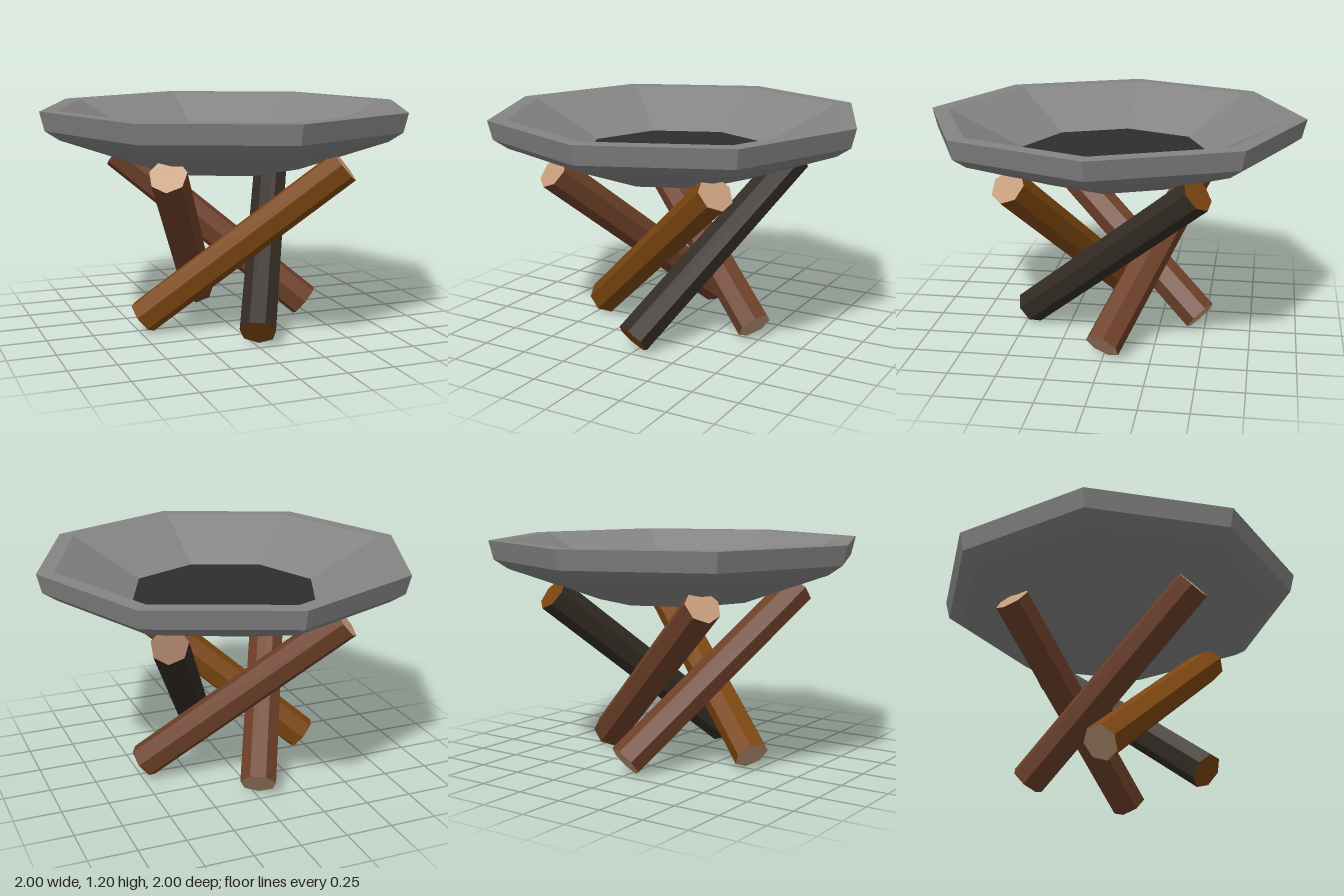
import * as THREE from 'three';

const paint = (name, hex) => {
  const m = new THREE.MeshStandardMaterial({ color: hex });
  m.name = name;
  return m;
};

// Faceted normals, one per face
const faceted = (geometry) => {
  const g = geometry.toNonIndexed();
  g.computeVertexNormals();
  return g;
};

export function createModel() {
  const model = new THREE.Group();
  model.name = 'firePit';

  const stone = paint('stone grey', 0x848484);
  const coal = paint('charcoal', 0x2e2e2e);
  const redBark = paint('reddish bark', 0x6e4029);
  const amberBark = paint('amber bark', 0x7c4610);
  const darkBark = paint('dark bark', 0x332c24);
  const cutWood = paint('cut wood', 0xc49c7a);

  const add = (name, geometry, material) => {
    const mesh = new THREE.Mesh(geometry, material);
    mesh.name = name;
    model.add(mesh);
    return mesh;
  };

  // Octagonal bowl: underside, outer wall, lip and inner slope in one profile
  const profile = [
    [0, 0.88], [0.42, 0.88], [0.9, 1.05], [0.975, 1.1],
    [1, 1.2], [0.91, 1.2], [0.51, 1.0],
  ].map(([r, y]) => new THREE.Vector2(r, y));
  add('bowl', faceted(new THREE.LatheGeometry(profile, 8)), stone);

  // Flat bed of coal inside the bowl
  const bed = new THREE.CircleGeometry(0.51, 8).rotateX(-Math.PI / 2);
  add('coalBed', bed.translate(0, 1.0, 0), coal);

  // Four crossed logs, each a quarter turn from the last
  const logs = [
    ['amberLog', amberBark, cutWood],
    ['darkLog', darkBark, amberBark],
    ['redLogRight', redBark, cutWood],
    ['redLogBack', redBark, cutWood],
  ];
  // Turns that place each log's foot at -x, +z, +x and -z
  const turns = [0, 1, 2, 3].map((i) => (i * Math.PI) / 2);

  const foot = new THREE.Vector3(-0.475, 0.075, 0);
  const head = new THREE.Vector3(0.475, 0.915, 0.475);
  const axis = head.clone().sub(foot);
  const length = axis.length();
  axis.normalize();
  // One corner of each seven-sided log points down to the ground
  const down = new THREE.Vector3(0, -1, 0).addScaledVector(axis, axis.y).normalize();
  const side = new THREE.Vector3().crossVectors(axis, down);
  const place = new THREE.Matrix4().makeBasis(side, axis, down);
  place.setPosition(foot.clone().add(head).multiplyScalar(0.5));

  logs.forEach(([name, bark, end], i) => {
    const g = faceted(new THREE.CylinderGeometry(0.096, 0.096, length, 7));
    g.applyMatrix4(place).rotateY(turns[i]);
    add(name, g, [bark, end, end]);
  });

  return model;
}
